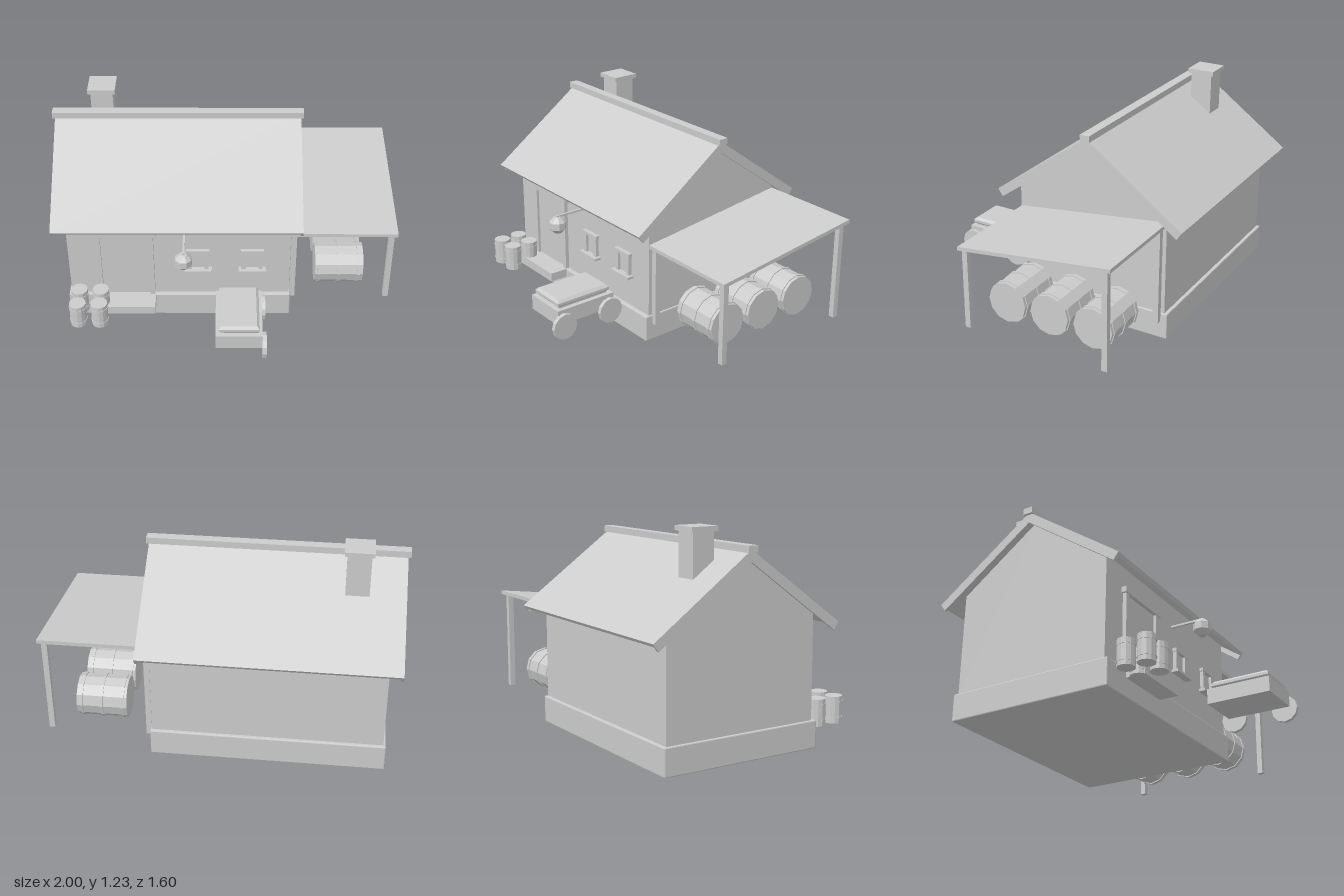
import * as THREE from 'three';
import { RoundedBoxGeometry } from 'three/addons/geometries/RoundedBoxGeometry.js';

export function createModel() {
  const root = new THREE.Group();
  root.name = 'cottage';
  const clay = new THREE.MeshStandardMaterial({ color: 0xcccccc });
  clay.name = 'pale grey';
  clay.flatShading = true;

  function add(name, geometry, parent = root) {
    const mesh = new THREE.Mesh(geometry, clay);
    mesh.name = name;
    parent.add(mesh);
    return mesh;
  }
  function group(name, x = 0, y = 0, z = 0) {
    const g = new THREE.Group();
    g.name = name;
    g.position.set(x, y, z);
    root.add(g);
    return g;
  }
  // Box given by its limits along each axis
  function box(name, x0, x1, y0, y1, z0, z1, parent = root) {
    const mesh = add(name, new THREE.BoxGeometry(x1 - x0, y1 - y0, z1 - z0), parent);
    mesh.position.set((x0 + x1) / 2, (y0 + y1) / 2, (z0 + z1) / 2);
    return mesh;
  }
  // Profile of [z, y] points extruded from x0 to x1
  function extrudeX(name, points, x0, x1, parent = root) {
    const shape = new THREE.Shape(points.map(([z, y]) => new THREE.Vector2(-z, y)));
    const geometry = new THREE.ExtrudeGeometry(shape, { depth: x1 - x0, bevelEnabled: false });
    geometry.rotateY(Math.PI / 2).translate(x0, 0, 0);
    return add(name, geometry, parent);
  }
  // Upright barrel with hoops, centred on its own middle
  function barrel(name, radius, height, hoops, hoopWidth, rim) {
    const g = group(name);
    add('barrelBody', new THREE.CylinderGeometry(radius, radius, height, 12), g);
    for (const y of hoops) {
      add('barrelHoop', new THREE.CylinderGeometry(radius + rim, radius + rim, hoopWidth, 12), g).position.y = y;
    }
    return g;
  }

  // Foundation and walls with gables
  const foundation = add('foundation', new RoundedBoxGeometry(1.32, 0.157, 0.98, 1, 0.006));
  foundation.position.set(-0.27, 0.0785, -0.21);
  const mid = -0.2125;
  extrudeX('walls', [[0.255, 0.15], [0.255, 0.752], [mid, 1.093], [-0.68, 0.752], [-0.68, 0.15]], -0.915, 0.382);

  // Roof layers: a chevron between two depths below the roof surface
  function chevron(d0, d1) {
    const side = (s, d) => [mid + s * (0.585 - 0.583 * d), 0.7 - 0.812 * d];
    const apex = (d) => [mid, 1.12 - d / 0.812];
    return [side(1, d0), apex(d0), side(-1, d0), side(-1, d1), apex(d1), side(1, d1)];
  }
  extrudeX('roof', chevron(0, 0.022), -0.985, 0.443);
  extrudeX('leftBargeBoard', chevron(0.02, 0.052), 0.428, 0.443);
  extrudeX('rightBargeBoard', chevron(0.02, 0.052), -0.985, -0.97);
  box('ridgeCap', -1, 0.457, 1.105, 1.142, -0.242, -0.185);

  // Chimney
  box('chimney', -0.785, -0.655, 0.9, 1.206, -0.434, -0.304);
  box('chimneyCap', -0.8, -0.64, 1.204, 1.23, -0.45, -0.288);

  // Door with frame and step
  const door = group('door');
  box('doorPanel', -0.725, -0.44, 0.155, 0.6, 0.25, 0.262, door);
  box('doorJamb', -0.752, -0.722, 0.155, 0.598, 0.25, 0.278, door);
  box('doorJamb', -0.445, -0.415, 0.155, 0.598, 0.25, 0.278, door);
  box('doorLintel', -0.765, -0.4, 0.596, 0.628, 0.25, 0.284, door);
  box('doorStep', -0.752, -0.41, 0.105, 0.158, 0.27, 0.392);

  // Windows
  for (const x of [-0.157, 0.16]) {
    const w = group('window', x, 0, 0);
    box('windowPane', -0.045, 0.045, 0.355, 0.475, 0.25, 0.26, w);
    for (const s of [-1, 1]) box('windowJamb', s * 0.049 - 0.012, s * 0.049 + 0.012, 0.35, 0.475, 0.25, 0.276, w);
    box('windowLintel', -0.068, 0.068, 0.47, 0.49, 0.25, 0.28, w);
    box('windowSill', -0.08, 0.08, 0.338, 0.354, 0.25, 0.297, w);
  }

  // Hanging lantern
  const lantern = group('lantern', -0.233, 0.565, 0.45);
  const lampProfile = [[0, -0.05], [0.021, -0.05], [0.051, -0.021], [0.051, 0.021], [0.021, 0.05], [0, 0.05]];
  const lamp = add('lanternGlobe', new THREE.LatheGeometry(lampProfile.map((p) => new THREE.Vector2(...p)), 8), lantern);
  lamp.rotation.y = Math.PI / 8;
  box('lanternArm', -0.006, 0.006, 0.046, 0.058, -0.2, 0.006, lantern);

  // Lean-to canopy and its posts
  extrudeX('canopy', [[0.252, 0.576], [0.252, 0.598], [-0.685, 0.713], [-0.685, 0.691]], 0.38, 1);
  for (const x of [0.403, 0.967]) {
    box('frontPost', x - 0.016, x + 0.016, 0.105, 0.585, 0.202, 0.235);
    box('backPost', x - 0.016, x + 0.016, 0.105, 0.695, -0.66, -0.627);
  }

  // Large casks lying under the canopy
  for (const z of [0.06, -0.212, -0.485]) {
    const cask = barrel('largeCask', 0.119, 0.288, [-0.117, 0, 0.12], 0.018, 0.006);
    cask.rotation.z = Math.PI / 2;
    cask.position.set(0.686, 0.23, z);
  }

  // Small barrels beside the door
  for (const x of [-0.855, -0.73]) {
    for (const z of [0.345, 0.465]) {
      barrel('smallBarrel', 0.049, 0.152, [-0.045, 0.045], 0.01, 0.003).position.set(x, 0.181, z);
    }
  }

  // Cart with a covered load and wheels on its left side
  const cart = group('cart');
  box('cartBody', -0.052, 0.212, 0.187, 0.277, 0.378, 0.758, cart);
  box('cartLoadBase', -0.025, 0.185, 0.27, 0.295, 0.41, 0.73, cart);
  const load = new THREE.Shape();
  load.moveTo(-0.1, -0.16).lineTo(0.1, -0.16).lineTo(0.1, 0.16).lineTo(-0.1, 0.16);
  const cover = add('cartLoad', new THREE.ExtrudeGeometry(load, {
    depth: 0.016, bevelEnabled: true, bevelSegments: 1, bevelSize: 0.015, bevelThickness: 0.015,
  }), cart);
  cover.rotation.x = -Math.PI / 2;
  cover.position.set(0.08, 0.296, 0.57);
  for (const z of [0.412, 0.725]) {
    const wheel = add('cartWheel', new THREE.CylinderGeometry(0.077, 0.077, 0.024, 12), cart);
    wheel.rotation.z = Math.PI / 2;
    wheel.position.set(0.223, 0.18, z);
  }
  return root;
}
